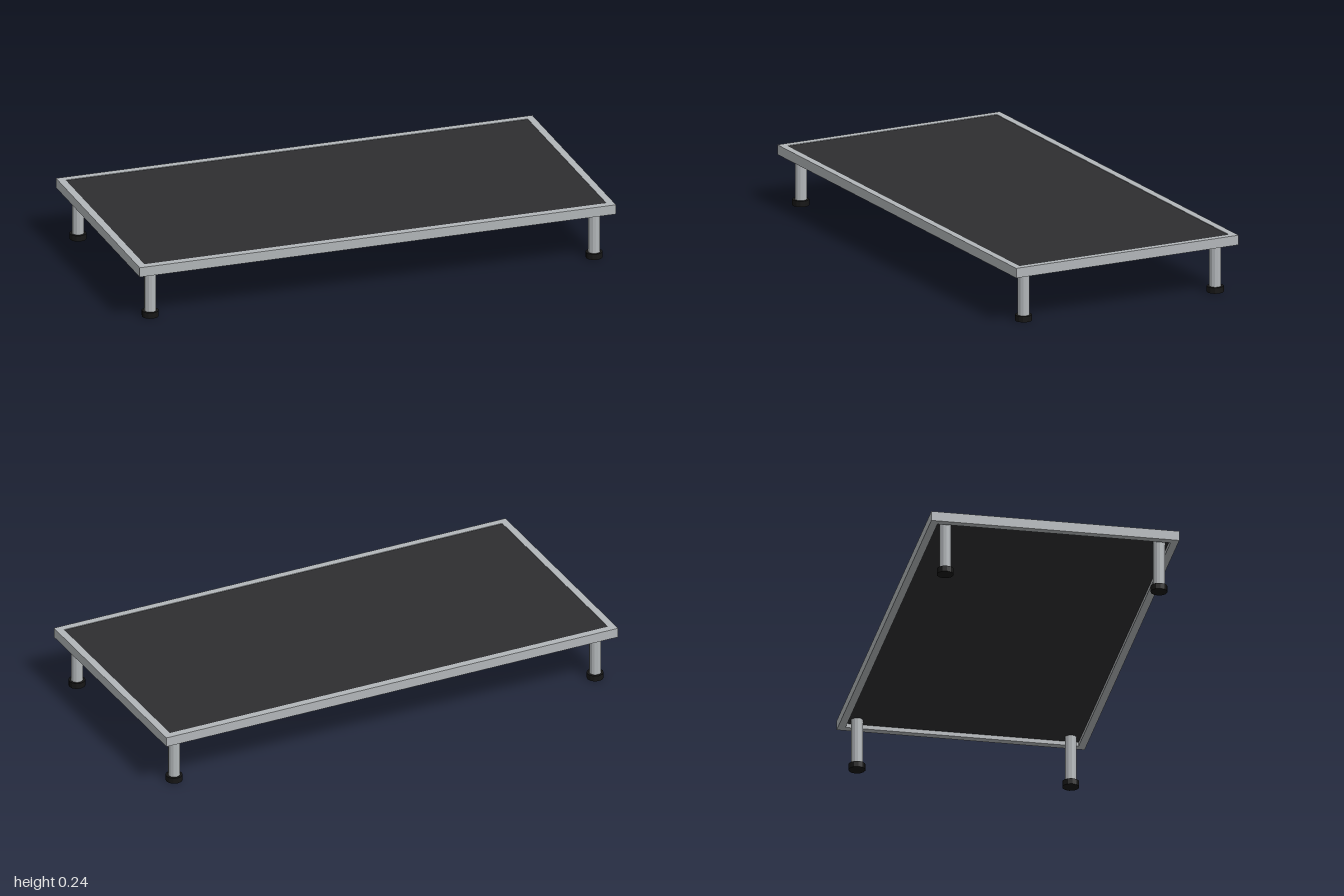
import * as THREE from 'three';

const metal = new THREE.MeshStandardMaterial({ color: 0xb2b6b9, flatShading: true });
const deck = new THREE.MeshStandardMaterial({ color: 0x2e2e30 });
const rubber = new THREE.MeshStandardMaterial({ color: 0x161616, flatShading: true });

const TOP = 0.24, BOTTOM = 0.2, RAIL = 0.03;
const PANEL_TOP = 0.238, PANEL_BOTTOM = 0.217;

function add(parent, name, geometry, material, y) {
  const mesh = new THREE.Mesh(geometry, material);
  mesh.name = name;
  mesh.position.y = y;
  parent.add(mesh);
  return mesh;
}

// Closed rectangle centred on the origin
function rectangle(Type, w, d) {
  const x = w / 2, z = d / 2;
  return new Type([[-x, -z], [x, -z], [x, z], [-x, z]].map(([a, b]) => new THREE.Vector2(a, b)));
}

export function createModel() {
  const model = new THREE.Group();
  model.name = 'stagePlatform';

  // Rectangular rail frame around the deck
  const outline = rectangle(THREE.Shape, 2, 1);
  outline.holes.push(rectangle(THREE.Path, 2 - 2 * RAIL, 1 - 2 * RAIL));
  const frame = new THREE.ExtrudeGeometry(outline, { depth: TOP - BOTTOM, bevelEnabled: false });
  frame.rotateX(-Math.PI / 2);
  add(model, 'frame', frame, metal, BOTTOM);

  // Dark deck panel held inside the frame
  const thickness = PANEL_TOP - PANEL_BOTTOM;
  add(model, 'deckPanel', new THREE.BoxGeometry(2 - 2 * RAIL, thickness, 1 - 2 * RAIL), deck, PANEL_BOTTOM + thickness / 2);

  // Four tubular legs with rubber feet
  const legGeometry = new THREE.CylinderGeometry(0.024, 0.024, PANEL_BOTTOM - 0.02, 12);
  const footGeometry = new THREE.CylinderGeometry(0.034, 0.034, 0.024, 12);
  for (const [sx, xName] of [[1, 'Left'], [-1, 'Right']]) {
    for (const [sz, zName] of [[1, 'front'], [-1, 'back']]) {
      const leg = new THREE.Group();
      leg.name = zName + xName + 'Leg';
      leg.position.set(sx * 0.932, 0, sz * 0.431);
      add(leg, 'legTube', legGeometry, metal, (PANEL_BOTTOM + 0.02) / 2);
      add(leg, 'foot', footGeometry, rubber, 0.012);
      model.add(leg);
    }
  }
  return model;
}
